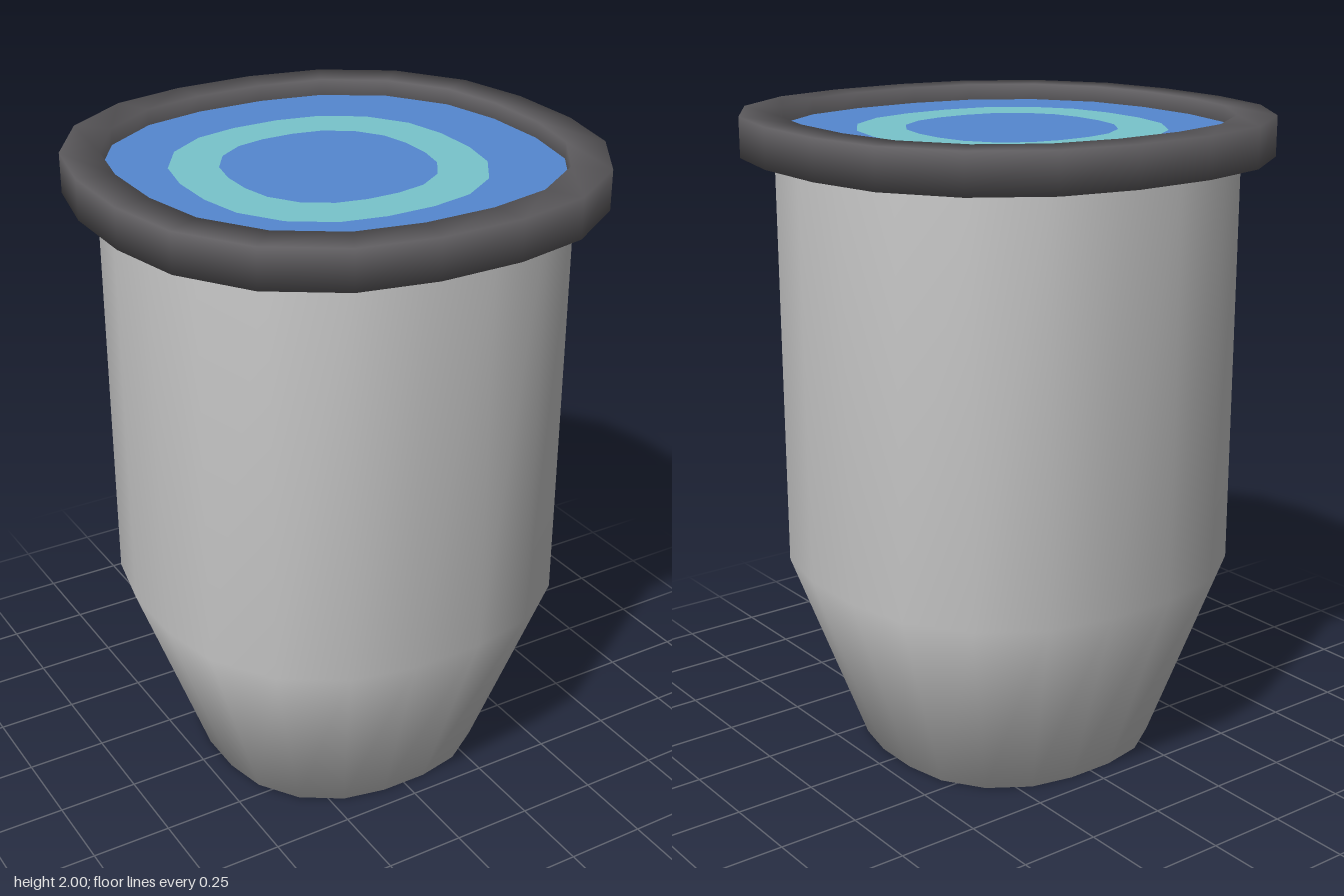
import * as THREE from 'three';

// One quadrant of the 20-sided rounded-square outline, for a half-width of 1
const QUADRANT = [[1, 0.17], [0.935, 0.477], [0.753, 0.753], [0.477, 0.935], [0.17, 1]];

// Quarter turns of the quadrant give the full outline
function outline() {
  const points = [];
  for (let q = 0; q < 4; q++) {
    for (const [x, z] of QUADRANT) {
      points.push([[x, z], [-z, x], [-x, -z], [z, -x]][q]);
    }
  }
  return points;
}

// Skin a list of rows [halfWidth, y, xOffset]; closed joins the last row to the first
function loft(rows, closed = false) {
  const ring = outline();
  const n = ring.length;
  const position = [];
  const index = [];
  for (const [half, y, dx = 0] of rows) {
    for (const [x, z] of ring) position.push(x * half + dx, y, z * half);
  }
  const bands = closed ? rows.length : rows.length - 1;
  for (let r = 0; r < bands; r++) {
    const next = (r + 1) % rows.length;
    for (let i = 0; i < n; i++) {
      const j = (i + 1) % n;
      const a = r * n + i, b = r * n + j, c = next * n + i, d = next * n + j;
      if (rows[r][0] > 0) index.push(a, c, b);
      if (rows[next][0] > 0) index.push(b, c, d);
    }
  }
  const geometry = new THREE.BufferGeometry();
  geometry.setAttribute('position', new THREE.Float32BufferAttribute(position, 3));
  geometry.setIndex(index);
  geometry.computeVertexNormals();
  return geometry;
}

export function createModel() {
  const group = new THREE.Group();
  const add = (name, color, rows, closed) => {
    const mesh = new THREE.Mesh(loft(rows, closed), new THREE.MeshStandardMaterial({ color }));
    mesh.name = name;
    group.add(mesh);
  };

  // Cup with a tapered foot and a closed base
  add('cupBody', 0xcccccc, [[0, 0], [0.435, 0], [0.655, 0.62], [0.655, 1.94]]);

  // Dark rim band around the mouth
  add('rim', 0x5f5d60, [[0.64, 1.88], [0.75, 1.88], [0.75, 2], [0.64, 2]], true);

  // Liquid surface, with a pale ripple between two blue areas
  const level = 1.95;
  const outer = [0.44, level, -0.02];
  const inner = [0.3, level, -0.02];
  add('liquidOuter', 0x5588d0, [[0.645, level], outer]);
  add('ripple', 0x78c4cc, [outer, inner]);
  add('liquidCentre', 0x5588d0, [inner, [0, level, -0.02]]);

  return group;
}
